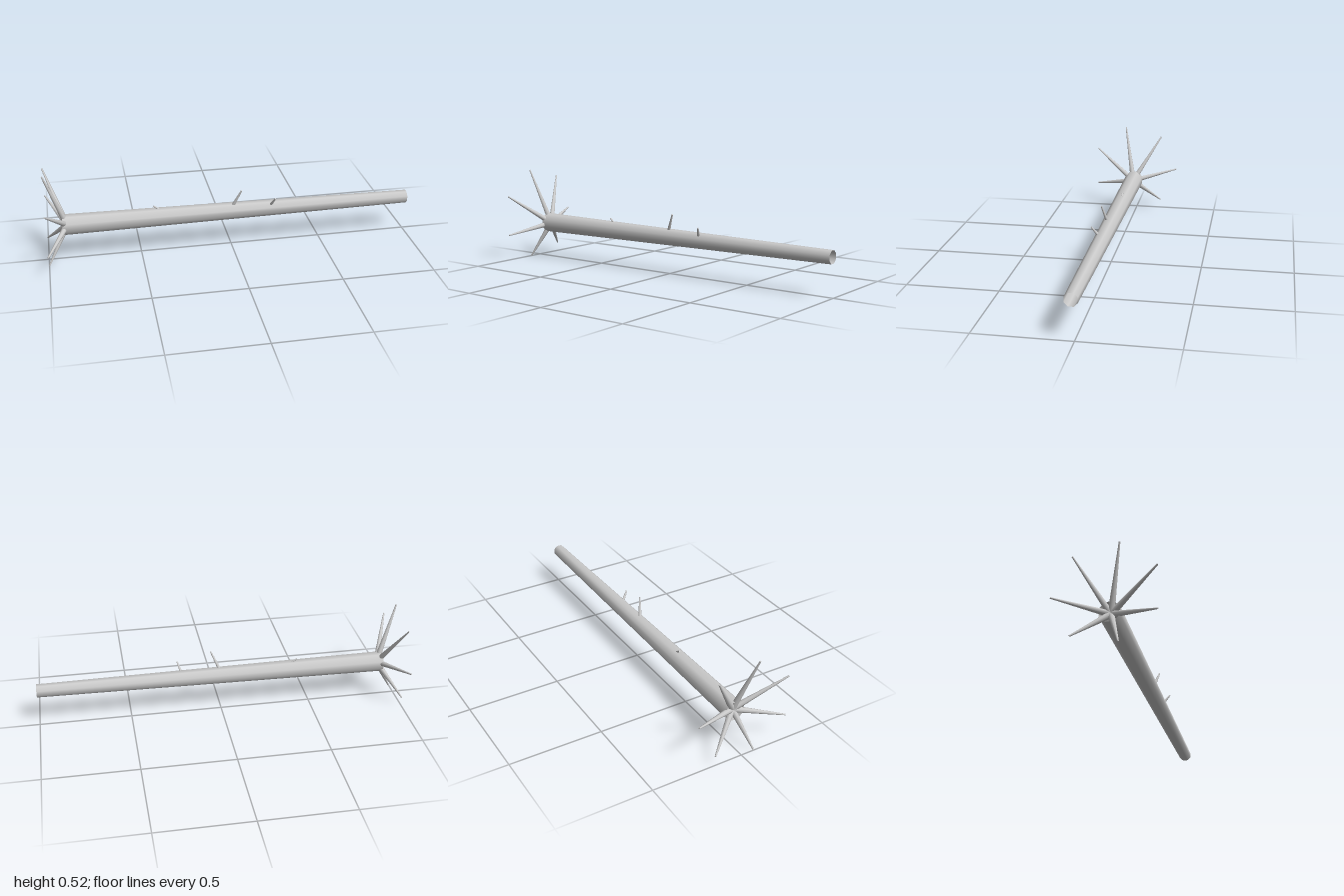
import * as THREE from 'three';

const bark = new THREE.MeshStandardMaterial({ color: 0xcccccc, side: THREE.DoubleSide });
bark.name = 'pale grey bark';

// Tapered limb running from point a to point b
function limb(name, a, b, ra, rb, sides, open) {
  const start = new THREE.Vector3(...a), end = new THREE.Vector3(...b);
  const dir = end.clone().sub(start);
  const geo = new THREE.CylinderGeometry(rb, ra, dir.length(), sides, 1, open);
  geo.rotateY(Math.PI / sides); // flat side down
  const mesh = new THREE.Mesh(geo, bark);
  mesh.name = name;
  mesh.position.copy(start).add(end).multiplyScalar(0.5);
  mesh.quaternion.setFromUnitVectors(new THREE.Vector3(0, 1, 0), dir.normalize());
  return mesh;
}

export function createModel() {
  const group = new THREE.Group();
  group.name = 'fallenTree';

  // Hollow trunk, open at both ends
  group.add(limb('trunk', [-0.915, 0.207, 0.008], [1, 0.207, 0.015], 0.056, 0.036, 8, true));

  // Fan of roots, tips given as [y, z]
  const roots = new THREE.Group();
  roots.name = 'roots';
  const tips = [
    [0.523, 0.073], [0.471, -0.153], [0.263, -0.253], [0.054, -0.153],
    [0.003, 0.073], [0.148, 0.253], [0.378, 0.253],
  ];
  tips.forEach(([y, z]) =>
    roots.add(limb('root', [-0.89, 0.205, 0.01], [-0.999, y, z], 0.017, 0.004, 8, false)));
  group.add(roots);

  // Twig stubs growing from the trunk's core
  const twigs = new THREE.Group();
  twigs.name = 'twigs';
  [
    [[-0.01, 0.205, 0.012], [0.05, 0.339, 0.045]],
    [[0.205, 0.205, 0.012], [0.234, 0.284, 0.066]],
    [[-0.34, 0.205, 0.01], [-0.425, 0.271, 0.004]],
  ].forEach(([a, b]) => twigs.add(limb('twig', a, b, 0.011, 0.004, 8, false)));
  group.add(twigs);

  return group;
}
